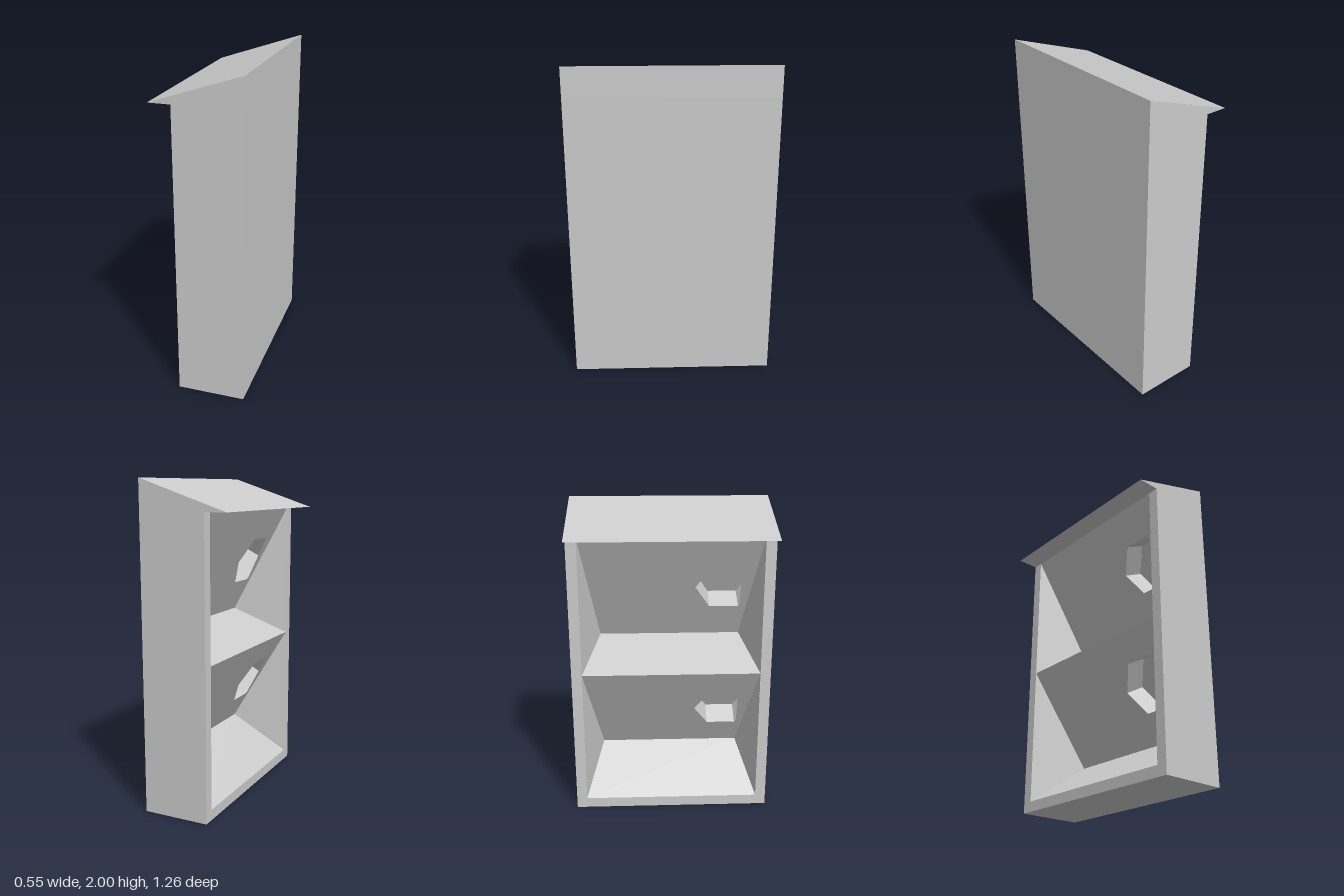
import * as THREE from 'three';

const material = new THREE.MeshStandardMaterial({ color: 0xcccccc, flatShading: true });
const thin = new THREE.MeshStandardMaterial({ color: 0xcccccc, flatShading: true, side: THREE.DoubleSide });

const FRONT = -0.14, BACK = 0.277, EAVE = -0.277, EAVE_Y = 1.815;
const HALF = 0.63, INNER = 0.564;   // outer width and mouth of the compartments
const DEEP = 0.21, DEEP_HALF = 0.458; // where each compartment narrows to its rear edge

// Extrudes an x-y outline along z between z0 and z1
function slab(name, outline, z0, z1) {
  const shape = new THREE.Shape(outline.map(([x, y]) => new THREE.Vector2(x, y)));
  const geometry = new THREE.ExtrudeGeometry(shape, { depth: z1 - z0, bevelEnabled: false });
  const mesh = new THREE.Mesh(geometry.translate(0, 0, z0), material);
  mesh.name = name;
  return mesh;
}

// Flat convex face from its corners
function facet(name, corners) {
  const positions = [];
  for (let i = 1; i < corners.length - 1; i++) positions.push(...corners[0], ...corners[i], ...corners[i + 1]);
  const geometry = new THREE.BufferGeometry();
  geometry.setAttribute('position', new THREE.Float32BufferAttribute(positions, 3));
  geometry.computeVertexNormals();
  const mesh = new THREE.Mesh(geometry, thin);
  mesh.name = name;
  return mesh;
}

function hexagon(cx, cy, r) {
  return Array.from({ length: 6 }, (_, i) => {
    const a = i * Math.PI / 3;
    return new THREE.Vector2(cx + r * Math.cos(a), cy + r * Math.sin(a));
  });
}

// Overhanging panel with two hexagonal pockets sunk square to its face
function pocketPanel(yDeep, yTop) {
  const group = new THREE.Group();
  group.name = 'pocketPanel';
  const up = new THREE.Vector3(FRONT - DEEP, yTop - yDeep, 0);
  const length = up.length();
  up.normalize();
  const across = new THREE.Vector3(0, 0, 1);
  const out = new THREE.Vector3().crossVectors(across, up);
  group.applyMatrix4(new THREE.Matrix4().makeBasis(across, up, out).setPosition(DEEP, yDeep, 0));

  const shape = new THREE.Shape([[-DEEP_HALF, 0], [DEEP_HALF, 0], [INNER, length], [-INNER, length]]
    .map(([x, y]) => new THREE.Vector2(x, y)));
  const cy = length * 0.505, r = 0.187, depth = 0.15;
  for (const cx of [-0.345, 0.345]) {
    const points = hexagon(cx, cy, r);
    shape.holes.push(new THREE.Path(points));
    const wall = new THREE.CylinderGeometry(r, r, depth, 6, 1, true)
      .rotateY(Math.PI / 6).rotateX(Math.PI / 2).translate(cx, cy, -depth / 2);
    const walls = new THREE.Mesh(wall, thin);
    walls.name = 'pocketWalls';
    const base = new THREE.Mesh(new THREE.ShapeGeometry(new THREE.Shape(points)).translate(0, 0, -depth), thin);
    base.name = 'pocketBase';
    group.add(walls, base);
  }
  const face = new THREE.Mesh(new THREE.ShapeGeometry(shape), thin);
  face.name = 'panelFace';
  group.add(face);
  return group;
}

// Funnel-shaped compartment: rising floor, converging cheeks and slanted panel
function compartment(name, yBottom, yDeep, yTop) {
  const group = new THREE.Group();
  group.name = name;
  group.add(facet('slopedFloor', [
    [FRONT, yBottom, -INNER], [FRONT, yBottom, INNER], [DEEP, yDeep, DEEP_HALF], [DEEP, yDeep, -DEEP_HALF],
  ]));
  for (const s of [-1, 1]) {
    group.add(facet(s > 0 ? 'leftCheek' : 'rightCheek', [
      [FRONT, yBottom, s * INNER], [FRONT, yTop, s * INNER], [DEEP, yDeep, s * DEEP_HALF],
    ]));
  }
  group.add(pocketPanel(yDeep, yTop));
  return group;
}

export function createModel() {
  const model = new THREE.Group();
  model.name = 'cabinet';

  // Outer shell: side walls, base, back plate and sloped roof with an eave
  const side = [[FRONT, 0], [BACK, 0], [BACK, EAVE_Y], [FRONT, EAVE_Y]];
  model.add(slab('leftWall', side, INNER, HALF), slab('rightWall', side, -HALF, -INNER));
  model.add(slab('base', [[FRONT, 0], [BACK, 0], [BACK, 0.066], [FRONT, 0.066]], -INNER, INNER));
  model.add(slab('backPlate', [[BACK - 0.005, 0.066], [BACK, 0.066], [BACK, EAVE_Y], [BACK - 0.005, EAVE_Y]], -INNER, INNER));
  model.add(slab('roof', [[EAVE, EAVE_Y], [BACK, EAVE_Y], [BACK, 2]], -HALF, HALF));

  // Two stacked compartments open to the eave side
  model.add(compartment('lowerCompartment', 0.066, 0.32, 0.944));
  model.add(compartment('upperCompartment', 0.944, 1.107, EAVE_Y));
  return model;
}
